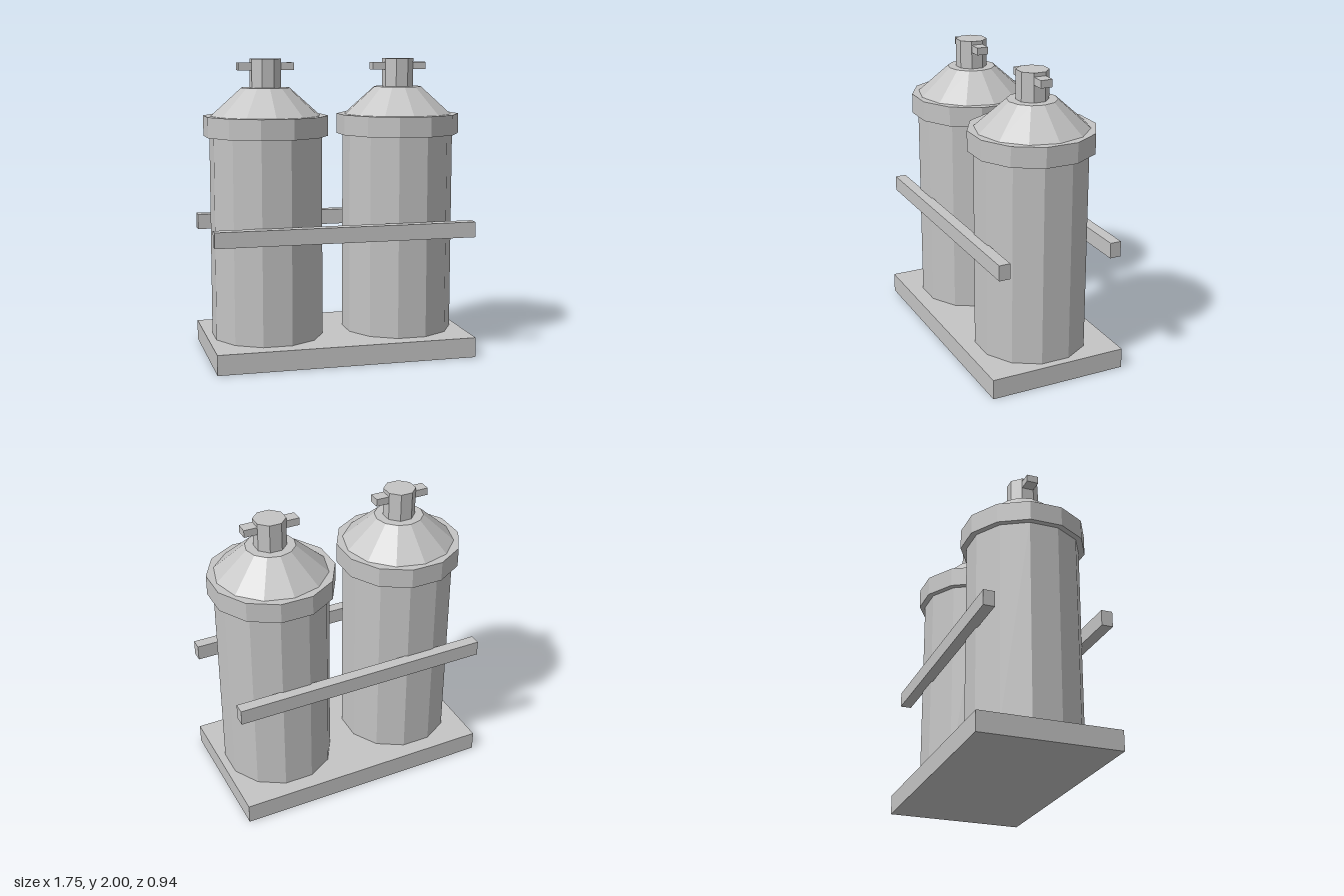
import * as THREE from 'three';

const steel = new THREE.MeshStandardMaterial({ color: 0xc4c4c4, flatShading: true });
steel.name = 'grey steel';

function part(name, geometry, x, y, z) {
  const mesh = new THREE.Mesh(geometry, steel);
  mesh.name = name;
  mesh.position.set(x, y, z);
  return mesh;
}

// Box given by its size and bottom height
function box(name, w, h, d, bottom, z = 0) {
  return part(name, new THREE.BoxGeometry(w, h, d), 0, bottom + h / 2, z);
}

// Faceted drum between two heights; flats turns flat sides toward the axes
function drum(name, rTop, rBottom, y0, y1, sides, flats) {
  const geometry = new THREE.CylinderGeometry(rTop, rBottom, y1 - y0, sides);
  if (flats) geometry.rotateY(Math.PI / sides);
  return part(name, geometry, 0, (y0 + y1) / 2, 0);
}

function createTank(name, x) {
  const tank = new THREE.Group();
  tank.name = name;
  tank.position.x = x;
  tank.add(
    drum('tankBody', 0.377, 0.377, 0.135, 1.5, 12, true),
    drum('collarBand', 0.417, 0.417, 1.49, 1.625, 12, true),
    drum('shoulderCone', 0.163, 0.377, 1.62, 1.81, 12, false),
    drum('valve', 0.106, 0.106, 1.8, 2, 8, true),
    box('valveHandle', 0.375, 0.05, 0.08, 1.925)
  );
  return tank;
}

export function createModel() {
  const model = new THREE.Group();
  model.name = 'twinGasTanks';

  // Base slab and the two clamping rails
  model.add(box('base', 1.754, 0.135, 0.944, 0));
  model.add(box('frontRail', 1.754, 0.104, 0.076, 0.816, 0.393));
  model.add(box('backRail', 1.754, 0.104, 0.076, 0.816, -0.393));

  model.add(createTank('leftTank', 0.46), createTank('rightTank', -0.46));
  return model;
}
